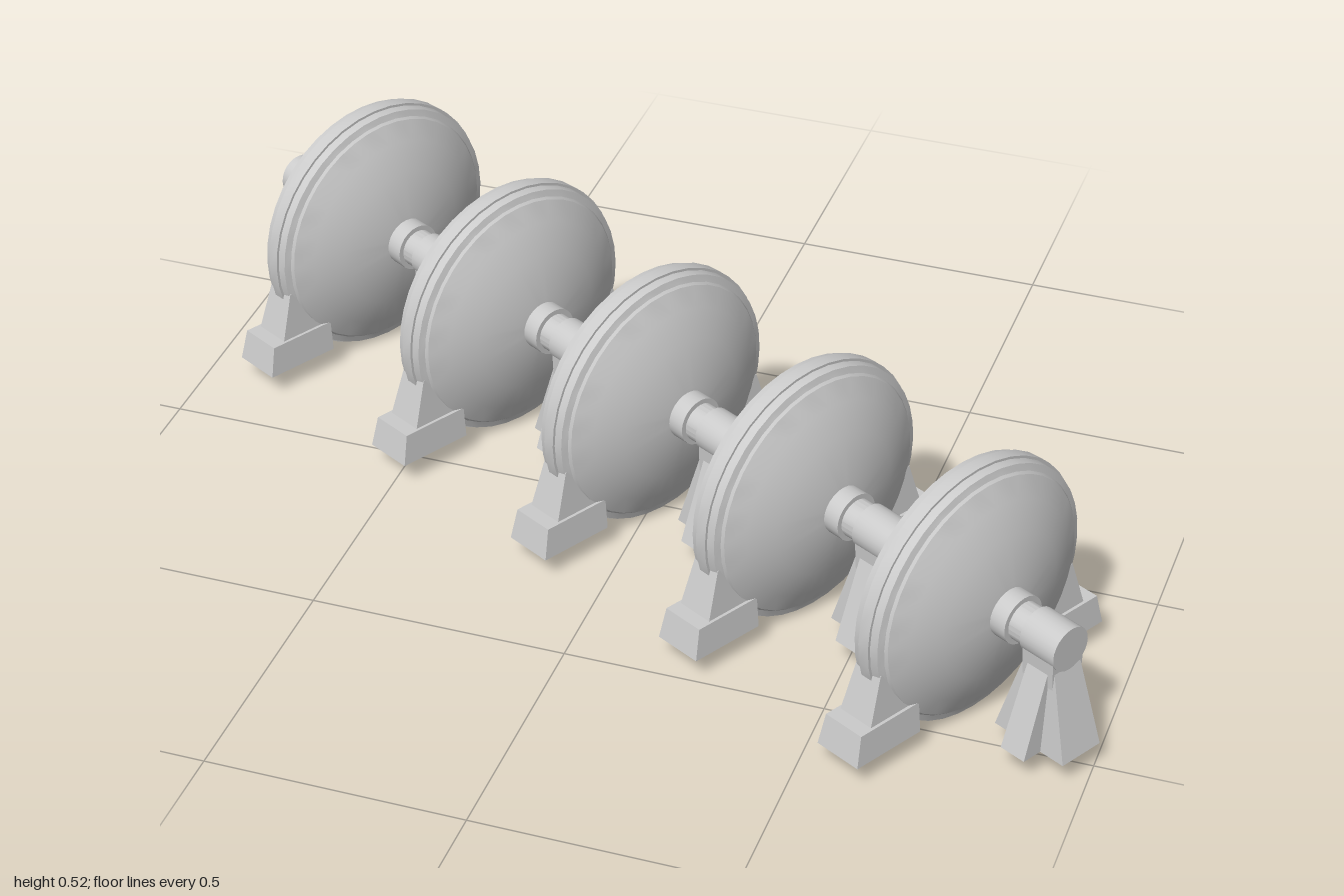
import * as THREE from 'three';
import { toCreasedNormals } from 'three/addons/utils/BufferGeometryUtils.js';

const AXIS_Y = 0.262;   // shaft height
const PITCH = 0.416;    // distance between discs along the shaft
const material = new THREE.MeshStandardMaterial({ color: 0xcccccc });

function part(name, geometry, x = 0, y = 0, z = 0) {
  const mesh = new THREE.Mesh(toCreasedNormals(geometry, 0.3), material);
  mesh.name = name;
  mesh.position.set(x, y, z);
  return mesh;
}

// Box between heights y0 and y1 with separate bottom and top rectangles [x0, x1, z0, z1]
function taperedBox(y0, y1, bottom, top) {
  const g = new THREE.BoxGeometry(1, 1, 1);
  const p = g.attributes.position;
  for (let i = 0; i < p.count; i++) {
    const up = p.getY(i) > 0;
    const r = up ? top : bottom;
    p.setXYZ(i, p.getX(i) < 0 ? r[0] : r[1], up ? y1 : y0, p.getZ(i) < 0 ? r[2] : r[3]);
  }
  g.computeVertexNormals();
  return g;
}

// Cylinder lying along the shaft
function rod(name, radius, length, x = 0) {
  return part(name, new THREE.CylinderGeometry(radius, radius, length, 24).rotateZ(-Math.PI / 2), x, AXIS_Y);
}

function createDisc() {
  const group = new THREE.Group();
  group.name = 'disc';

  // Lens-shaped casing: half profile as [radius, offset], mirrored about the rim
  const half = [[0, 0.1], [0.055, 0.1], [0.145, 0.079], [0.2, 0.056], [0.238, 0.037],
    [0.242, 0.032], [0.255, 0.028], [0.257, 0.012], [0.262, 0.012]];
  const profile = [
    ...half.map(([r, t]) => new THREE.Vector2(r, -t)),
    ...half.slice().reverse().map(([r, t]) => new THREE.Vector2(r, t)),
  ];
  const casing = new THREE.LatheGeometry(profile, 40).rotateZ(-Math.PI / 2);
  group.add(part('discCasing', casing, 0, AXIS_Y));

  // Hub collars on both faces
  for (const s of [-1, 1]) group.add(rod('hubCollar', 0.048, 0.04, s * 0.115));

  // Feet at both ends of the disc
  for (const s of [-1, 1]) {
    const foot = new THREE.Group();
    foot.name = 'discFoot';
    foot.add(part('footBase', taperedBox(0.048, 0.11,
      [-0.05, 0.05, 0.16, 0.317], [-0.044, 0.044, 0.16, 0.304])));
    foot.add(part('footUpright', taperedBox(0.11, 0.205,
      [-0.038, 0.038, 0.17, 0.274], [-0.03, 0.03, 0.19, 0.246])));
    if (s < 0) foot.rotation.y = Math.PI;
    group.add(foot);
  }
  return group;
}

function createBearing() {
  const group = new THREE.Group();
  group.name = 'bearing';
  group.add(rod('bearingHousing', 0.044, 0.08));
  group.add(part('bearingColumn', taperedBox(0.15, AXIS_Y,
    [-0.036, 0.036, -0.034, 0.034], [-0.036, 0.036, -0.04, 0.04])));
  // Cross-shaped flared pedestal
  group.add(part('pedestalLengthwise', taperedBox(0.052, 0.22,
    [-0.082, 0.082, -0.048, 0.048], [-0.036, 0.036, -0.033, 0.033])));
  group.add(part('pedestalCrosswise', taperedBox(0.052, 0.22,
    [-0.028, 0.028, -0.09, 0.09], [-0.024, 0.024, -0.036, 0.036])));
  return group;
}

export function createModel() {
  const model = new THREE.Group();
  model.name = 'discRow';

  // The whole row runs diagonally
  const row = new THREE.Group();
  row.name = 'row';
  row.rotation.y = -Math.atan2(0.4, 0.73);
  model.add(row);

  row.add(rod('shaft', 0.038, 5 * PITCH + 0.08));
  for (let i = -2; i <= 2; i++) {
    const disc = createDisc();
    disc.position.x = i * PITCH;
    row.add(disc);
  }
  for (let i = 0; i < 6; i++) {
    const bearing = createBearing();
    bearing.position.x = (i - 2.5) * PITCH;
    row.add(bearing);
  }
  return model;
}
